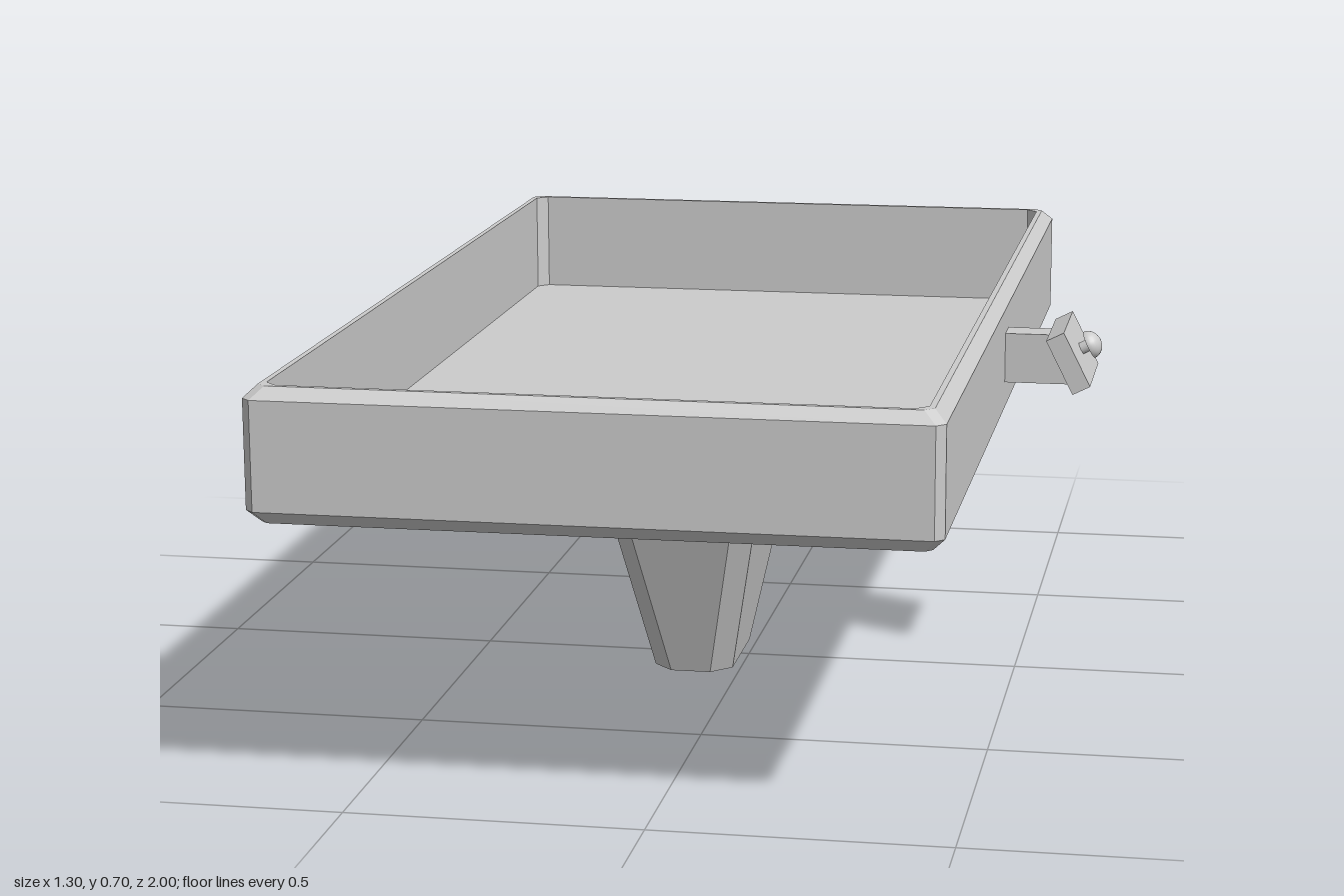
import * as THREE from 'three';

const mat = new THREE.MeshStandardMaterial({ color: 0xcccccc, flatShading: true });
const smooth = new THREE.MeshStandardMaterial({ color: 0xcccccc });
const CX = -0.0875; // centre of tray and post

// Rectangle with cut corners, as an eight-point loop
function octagon([y, hx, hz, c]) {
  const a = hx - c, b = hz - c;
  return [[hx, b], [a, hz], [-a, hz], [-hx, b], [-hx, -b], [-a, -hz], [a, -hz], [hx, -b]]
    .map(([x, z]) => new THREE.Vector3(x, y, z));
}

// Joins sections [y, halfX, halfZ, cornerCut] and caps both ends
function loft(sections) {
  const rings = sections.map(octagon);
  const pos = [];
  const tri = (...pts) => pts.forEach(p => pos.push(p.x, p.y, p.z));
  for (let i = 0; i < rings.length - 1; i++) {
    const lo = rings[i], hi = rings[i + 1];
    for (let j = 0; j < 8; j++) {
      const k = (j + 1) % 8;
      tri(lo[j], hi[k], lo[k]);
      tri(lo[j], hi[j], hi[k]);
    }
  }
  const first = rings[0], last = rings[rings.length - 1];
  for (let j = 1; j < 7; j++) {
    tri(first[0], first[j], first[j + 1]);
    tri(last[0], last[j + 1], last[j]);
  }
  const g = new THREE.BufferGeometry();
  g.setAttribute('position', new THREE.Float32BufferAttribute(pos, 3));
  g.computeVertexNormals();
  return g;
}

function add(parent, name, geometry, material = mat) {
  const mesh = new THREE.Mesh(geometry, material);
  mesh.name = name;
  parent.add(mesh);
  return mesh;
}

export function createModel() {
  const model = new THREE.Group();
  model.name = 'trayOnPost';

  // Open tray: up the outside, over the narrow rim, down to the floor
  add(model, 'tray', loft([
    [0.475, 0.542, 0.98, 0.012],
    [0.497, 0.5625, 1.0, 0.015],
    [0.68, 0.5625, 1.0, 0.015],
    [0.7, 0.542, 0.98, 0.015],
    [0.7, 0.532, 0.97, 0.02],
    [0.51, 0.532, 0.97, 0.02],
  ])).position.x = CX;

  // Tapered post with a flared collar under the tray
  add(model, 'post', loft([
    [0, 0.0725, 0.13, 0.036],
    [0.455, 0.1615, 0.29, 0.038],
    [0.478, 0.185, 0.31, 0.038],
  ])).position.x = CX;

  // Arm on the tray's left side
  add(model, 'bracketArm', new THREE.BoxGeometry(0.13, 0.09, 0.06)).position.set(0.527, 0.59, 0);

  // Tilted plate with a round-headed screw
  const bracket = new THREE.Group();
  bracket.name = 'tiltedBracket';
  bracket.position.set(0.5945, 0.598, 0);
  bracket.rotation.z = 0.47;
  model.add(bracket);
  add(bracket, 'bracketPlate', new THREE.BoxGeometry(0.035, 0.108, 0.21));

  const shaft = add(bracket, 'screwShaft', new THREE.CylinderGeometry(0.011, 0.011, 0.03, 16), smooth);
  shaft.rotation.z = -Math.PI / 2;
  shaft.position.x = 0.025;

  const head = new THREE.Group();
  head.name = 'screwHead';
  head.rotation.z = -Math.PI / 2;
  head.position.x = 0.033;
  bracket.add(head);
  const dome = new THREE.SphereGeometry(0.026, 20, 8, 0, Math.PI * 2, 0, Math.PI / 2);
  dome.scale(1, 0.88, 1);
  add(head, 'screwDome', dome, smooth);
  add(head, 'screwUnderside', new THREE.CircleGeometry(0.026, 20)).rotation.x = Math.PI / 2;

  return model;
}
